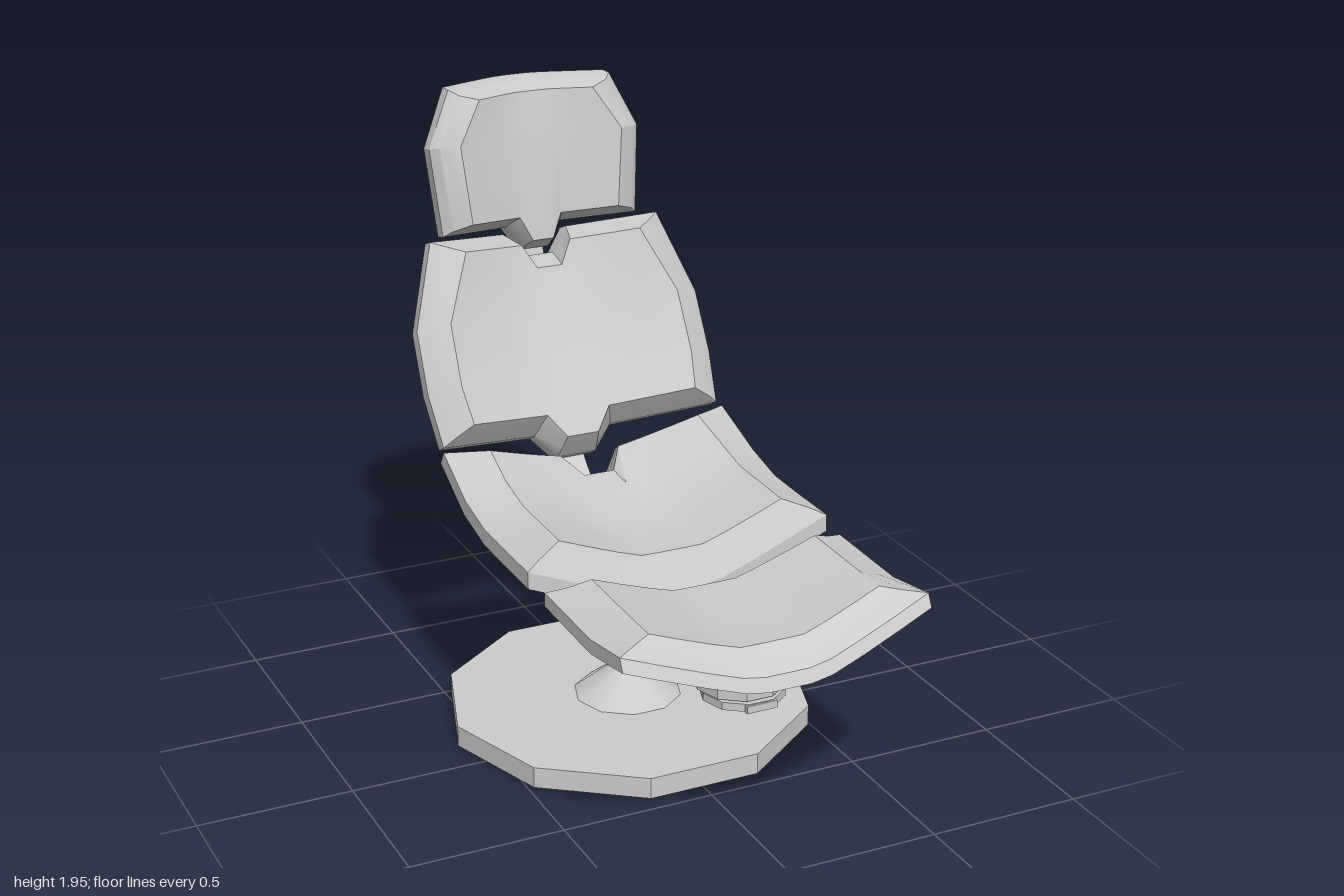
import * as THREE from 'three';
import { toCreasedNormals } from 'three/addons/utils/BufferGeometryUtils.js';

const grey = new THREE.MeshStandardMaterial({ color: 0xcccccc, side: THREE.DoubleSide });
const COLS = [-1, -0.76, -0.5, -0.28, -0.14, 0, 0.14, 0.28, 0.5, 0.76, 1];
const PIVOT = -0.12; // z of the pedestal axis

// Upholstered shell lofted over rows [z, y, halfWidth, lean in degrees], curling up at both sides.
// layers: [height above the back, side inset, end inset]; ends: tongue at first row, notch at last row.
function panel(name, rows, { lift, layers, tongue = 0, notch = 0 }) {
  const pos = [], idx = [];
  const nc = COLS.length, nr = rows.length;
  const last = layers.length - 1;

  const point = (r, c, [h, inX, inV]) => {
    const [z, y, w, deg] = rows[r];
    const t = THREE.MathUtils.degToRad(deg), sn = Math.sin(t), cs = Math.cos(t);
    const x = COLS[c] * (w - inX);
    const curl = Math.max(0, (Math.abs(x / w) - 0.2) / 0.8) ** 1.1;
    const mid = THREE.MathUtils.clamp((0.28 - Math.abs(COLS[c])) / 0.14, 0, 1);
    const n = h + lift * curl;
    const s = r === 0 ? inV - tongue * mid : r === nr - 1 ? -inV - notch * mid : 0;
    return [x, y + cs * n + sn * s, z + sn * n - cs * s];
  };
  const quad = (a, b, c, d) => idx.push(a, b, c, a, c, d);
  const id = (k, r, c) => (k * nr + r) * nc + c;

  layers.forEach((layer) => {
    for (let r = 0; r < nr; r++) for (let c = 0; c < nc; c++) pos.push(...point(r, c, layer));
  });
  // cushion face and back face
  for (let r = 0; r < nr - 1; r++) {
    for (let c = 0; c < nc - 1; c++) {
      quad(id(last, r, c), id(last, r, c + 1), id(last, r + 1, c + 1), id(last, r + 1, c));
      quad(id(0, r, c), id(0, r + 1, c), id(0, r + 1, c + 1), id(0, r, c + 1));
    }
  }
  // rim and bevels around the outline
  const loop = [];
  for (let c = 0; c < nc - 1; c++) loop.push([0, c]);
  for (let r = 0; r < nr - 1; r++) loop.push([r, nc - 1]);
  for (let c = nc - 1; c > 0; c--) loop.push([nr - 1, c]);
  for (let r = nr - 1; r > 0; r--) loop.push([r, 0]);
  for (let k = 0; k < last; k++) {
    loop.forEach((a, i) => {
      const b = loop[(i + 1) % loop.length];
      quad(id(k, ...a), id(k, ...b), id(k + 1, ...b), id(k + 1, ...a));
    });
  }
  const geo = new THREE.BufferGeometry();
  geo.setAttribute('position', new THREE.Float32BufferAttribute(pos, 3));
  geo.setIndex(idx);
  const mesh = new THREE.Mesh(toCreasedNormals(geo, 0.45), grey);
  mesh.name = name;
  return mesh;
}

// Faceted disc or cone centred at (0, y, z), leaning forward by deg
function disc(name, rTop, rBottom, h, y, z, sides = 10, deg = 0) {
  const geo = new THREE.CylinderGeometry(rTop, rBottom, h, sides).rotateY(Math.PI / 10);
  const mesh = new THREE.Mesh(toCreasedNormals(geo, 0.4), grey);
  mesh.name = name;
  mesh.position.set(0, y, z);
  mesh.rotation.x = THREE.MathUtils.degToRad(deg);
  return mesh;
}

// Flat bar following the underside and back of the chair
function spine() {
  const path = new THREE.CatmullRomCurve3([
    [0.82, 0.458], [0.4, 0.46], [0, 0.47], [-0.27, 0.525], [-0.5, 0.66],
    [-0.69, 0.86], [-0.82, 1.11], [-0.92, 1.42], [-0.96, 1.62],
  ].map(([z, y]) => new THREE.Vector3(z, y, 0)));
  const inner = [], outer = [];
  for (let i = 0; i <= 28; i++) {
    const p = path.getPoint(i / 28), t = path.getTangent(i / 28);
    inner.push(new THREE.Vector2(p.x + t.y * 0.012, p.y - t.x * 0.012));
    outer.unshift(new THREE.Vector2(p.x - t.y * 0.012, p.y + t.x * 0.012));
  }
  const geo = new THREE.ExtrudeGeometry(new THREE.Shape([...inner, ...outer]), { depth: 0.1, bevelEnabled: false });
  geo.translate(0, 0, -0.05).rotateY(-Math.PI / 2);
  const mesh = new THREE.Mesh(toCreasedNormals(geo, 0.5), grey);
  mesh.name = 'spineBar';
  return mesh;
}

export function createModel() {
  const chair = new THREE.Group();
  chair.name = 'loungeChair';

  // Upholstered panels
  chair.add(
    panel('footrest', [
      [0.99, 0.6, 0.5, -27], [0.72, 0.548, 0.5, -5], [0.37, 0.555, 0.5, 2],
    ], { lift: 0.14, layers: [[0, 0, 0], [0.045, 0, 0], [0.09, 0.06, 0.035], [0.14, 0.125, 0.06]] }),
    panel('seat', [
      [0.28, 0.555, 0.51, -2], [0.08, 0.555, 0.51, 0], [-0.1, 0.56, 0.51, 7],
      [-0.3, 0.605, 0.51, 20], [-0.55, 0.71, 0.5, 32],
    ], { lift: 0.155, notch: 0.09, layers: [[0, 0, 0], [0.055, 0, 0], [0.1, 0.05, 0.025], [0.165, 0.13, 0.06]] }),
    panel('backrest', [
      [-0.6, 0.815, 0.49, 60], [-0.69, 0.97, 0.505, 61], [-0.79, 1.16, 0.5, 63], [-0.905, 1.43, 0.405, 68],
    ], { lift: 0.11, tongue: 0.08, notch: 0.08, layers: [[0, 0, 0], [0.05, 0, 0], [0.09, 0.035, 0.02], [0.145, 0.095, 0.05]] }),
    panel('headrest', [
      [-0.92, 1.455, 0.345, 75], [-0.96, 1.75, 0.37, 78], [-1, 1.95, 0.285, 88],
    ], { lift: 0.08, tongue: 0.08, layers: [[0, 0, 0], [0.05, 0, 0], [0.09, 0.025, 0.015], [0.14, 0.085, 0.03]] }),
  );

  // Bar and the mounts joining it to each panel
  chair.add(
    spine(),
    disc('footrestMount', 0.14, 0.14, 0.075, 0.515, 0.67),
    disc('footrestKnob', 0.09, 0.09, 0.06, 0.46, 0.67),
    disc('barEnd', 0.13, 0.13, 0.025, 0.46, 0.69),
    disc('seatMount', 0.15, 0.15, 0.07, 0.548, -0.11, 10, 9),
    disc('seatMountRing', 0.1, 0.1, 0.05, 0.5, PIVOT, 10, 5),
    disc('backrestMount', 0.115, 0.115, 0.05, 0.965, -0.705, 10, 61),
    disc('backrestKnob', 0.075, 0.075, 0.11, 0.95, -0.745, 10, 61),
    disc('headrestMount', 0.07, 0.07, 0.04, 1.58, -0.95, 10, 80),
    disc('headrestKnob', 0.045, 0.045, 0.05, 1.61, -0.965, 10, 80),
  );

  // Pedestal
  chair.add(
    disc('base', 0.6, 0.6, 0.07, 0.042, PIVOT),
    disc('baseUnderside', 0.58, 0.58, 0.01, 0.005, PIVOT),
    disc('baseCone', 0.05, 0.18, 0.1, 0.125, PIVOT),
    disc('lowerCollar', 0.05, 0.05, 0.075, 0.213, PIVOT),
    disc('column', 0.04, 0.04, 0.12, 0.27, PIVOT),
    disc('upperCollar', 0.052, 0.052, 0.04, 0.335, PIVOT),
    disc('swivelCone', 0.1, 0.052, 0.115, 0.41, PIVOT),
    disc('swivelPlate', 0.1, 0.1, 0.025, 0.477, PIVOT),
  );
  return chair;
}
